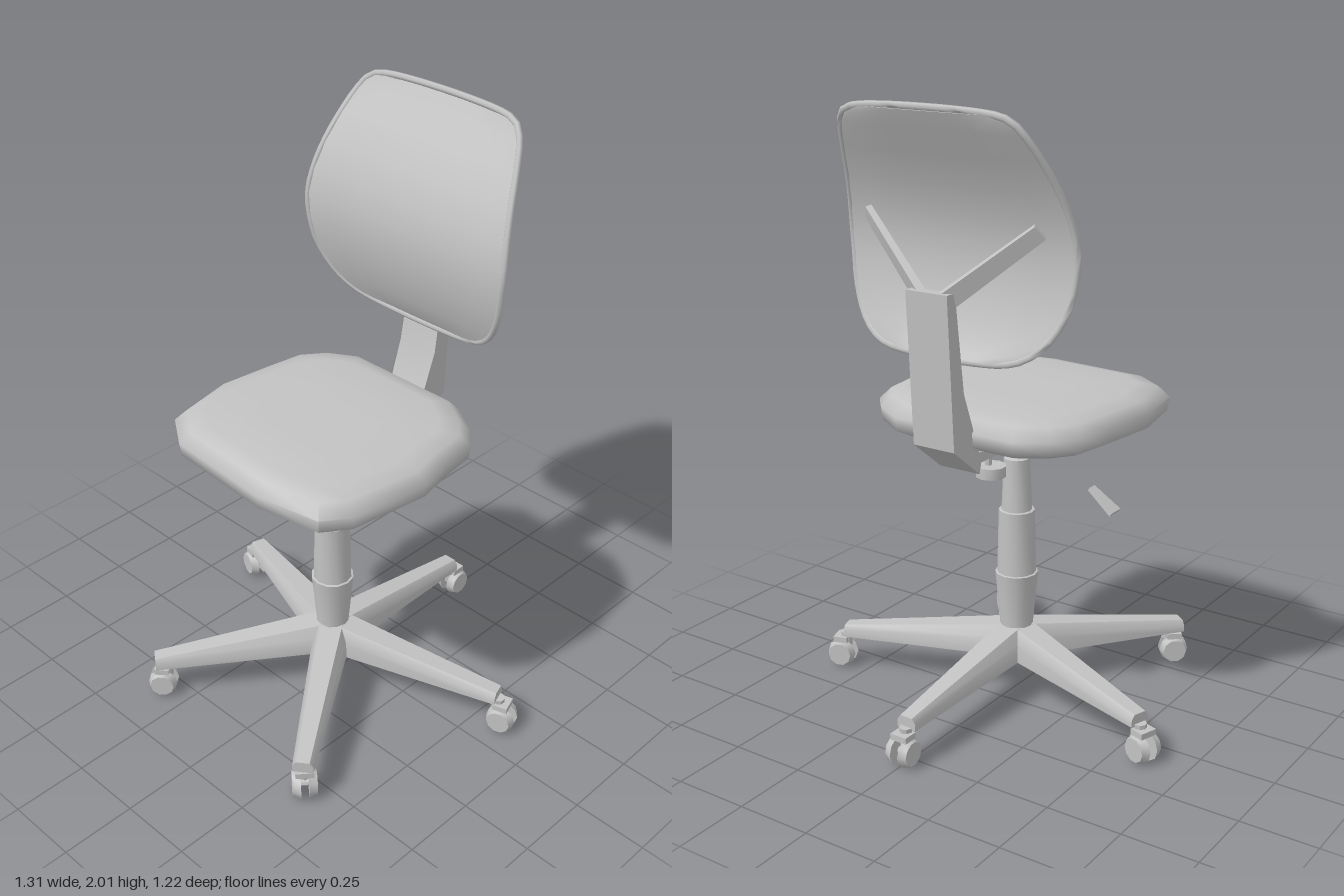
import * as THREE from 'three';
import { toCreasedNormals } from 'three/addons/utils/BufferGeometryUtils.js';

const grey = new THREE.MeshStandardMaterial({ color: 0xc2c2c2 });
grey.name = 'plain grey';
const V = (x, y, z) => new THREE.Vector3(x, y, z);
const AXIS_Z = 0.09; // the column stands slightly ahead of the centre

function mesh(name, geo, parent, crease = 0.7) {
  const m = new THREE.Mesh(toCreasedNormals(geo, crease), grey);
  m.name = name;
  parent.add(m);
  return m;
}

// Solid skin over rings of equal point count, capped at both ends
function loft(rings) {
  const n = rings[0].length;
  const pts = rings.flat();
  const idx = [];
  for (let r = 0; r < rings.length - 1; r++) {
    for (let i = 0; i < n; i++) {
      const a = r * n + i, b = r * n + (i + 1) % n;
      idx.push(a, b, b + n, a, b + n, a + n);
    }
  }
  for (const end of [0, rings.length - 1]) {
    const c = pts.length;
    const mid = V(0, 0, 0);
    rings[end].forEach(p => mid.addScaledVector(p, 1 / n));
    pts.push(mid);
    for (let i = 0; i < n; i++) {
      const a = end * n + i, b = end * n + (i + 1) % n;
      if (end === 0) idx.push(c, b, a); else idx.push(c, a, b);
    }
  }
  // Turn the faces outward when the enclosed volume comes out negative
  let volume = 0;
  for (let i = 0; i < idx.length; i += 3) {
    volume += pts[idx[i]].dot(V(0, 0, 0).crossVectors(pts[idx[i + 1]], pts[idx[i + 2]]));
  }
  if (volume < 0) idx.reverse();
  const g = new THREE.BufferGeometry().setFromPoints(pts);
  g.setIndex(idx);
  return g;
}

// Bar with a box section between two points, sizes given at each end
function bar(a, b, wide, [w0, h0], [w1, h1]) {
  const dir = b.clone().sub(a).normalize();
  const side = wide.clone().addScaledVector(dir, -wide.dot(dir)).normalize();
  const up = V(0, 0, 0).crossVectors(dir, side);
  const ring = (c, w, h) => [[1, 1], [-1, 1], [-1, -1], [1, -1]].map(([s, t]) =>
    c.clone().addScaledVector(side, s * w / 2).addScaledVector(up, t * h / 2));
  return loft([ring(a, w0, h0), ring(b, w1, h1)]);
}

function buildCaster(parent) {
  const caster = new THREE.Group();
  caster.name = 'caster';
  for (const s of [-1, 1]) {
    const wheel = mesh('wheel', new THREE.CylinderGeometry(0.04, 0.05, 0.026, 10), caster);
    wheel.rotation.z = -s * Math.PI / 2;
    wheel.scale.y = 1;
    wheel.position.set(s * 0.027, 0.051, 0);
  }
  const axle = mesh('axle', new THREE.CylinderGeometry(0.012, 0.012, 0.04, 8), caster);
  axle.rotation.z = Math.PI / 2;
  axle.position.y = 0.051;
  mesh('stem', new THREE.CylinderGeometry(0.022, 0.017, 0.075, 8), caster).position.set(0, 0.09, -0.015);
  mesh('hood', new THREE.BoxGeometry(0.06, 0.02, 0.05), caster).position.set(0, 0.103, 0);
  parent.add(caster);
  return caster;
}

function buildBase(parent) {
  const base = new THREE.Group();
  base.name = 'base';
  base.position.z = AXIS_Z;
  // Tapered leg section, narrower on top
  const section = (r, w, y0, y1) => [
    V(-w, y0, r), V(w, y0, r), V(w, y0 + (y1 - y0) * 0.6, r),
    V(w * 0.65, y1, r), V(-w * 0.65, y1, r), V(-w, y0 + (y1 - y0) * 0.6, r)];
  for (let i = 0; i < 5; i++) {
    const leg = new THREE.Group();
    leg.name = 'leg';
    leg.rotation.y = Math.PI + i * Math.PI * 2 / 5;
    mesh('legBeam', loft([section(0, 0.062, 0.14, 0.25), section(0.615, 0.034, 0.12, 0.16)]), leg);
    const front = i === 2 || i === 3;
    const caster = buildCaster(leg);
    caster.position.z = front ? 0.59 : 0.632;
    if (front) caster.rotation.y = i === 2 ? -0.25 : 0.25;
    base.add(leg);
  }
  parent.add(base);
}

function buildColumn(parent) {
  // Telescopic cover with stepped sleeves
  const profile = [[0, 0.2], [0.056, 0.2], [0.056, 0.25], [0.072, 0.43], [0.065, 0.432], [0.06, 0.65],
    [0.051, 0.652], [0.043, 0.83], [0.03, 0.835], [0.03, 0.92]];
  mesh('column', new THREE.LatheGeometry(profile.map(p => new THREE.Vector2(...p)), 12), parent, 0.8)
    .position.z = AXIS_Z;
  // Shallow dish that carries the seat
  const dish = [[0, 0.85], [0.04, 0.86], [0.055, 0.885], [0.1, 0.9], [0.215, 0.937], [0.215, 0.945], [0, 0.945]];
  const plate = mesh('seatPlate', new THREE.LatheGeometry(dish.map(p => new THREE.Vector2(...p)), 14), parent);
  plate.scale.z = 1.22;
  plate.position.z = 0.06;
  // Loose height lever under the right side of the seat
  mesh('lever', bar(V(-0.283, 0.782, AXIS_Z), V(-0.372, 0.716, AXIS_Z), V(0, 0, 1),
    [0.03, 0.012], [0.055, 0.014]), parent);
}

function buildSeat(parent) {
  const outline = [[-0.22, -0.27], [0.22, -0.27], [0.33, -0.2], [0.39, -0.13], [0.405, 0], [0.43, 0.12],
    [0.39, 0.39], [0.33, 0.475], [0.11, 0.515], [-0.27, 0.49], [-0.385, 0.41], [-0.425, 0.2],
    [-0.4, 0], [-0.38, -0.13], [-0.32, -0.21]];
  const ring = (s, y) => outline.map(([x, z]) => V(x * s, y, 0.13 + (z - 0.13) * s));
  mesh('seatCushion', loft([ring(0.3, 0.955), ring(0.88, 0.953), ring(0.985, 0.975), ring(1, 1.02),
    ring(0.92, 1.057), ring(0.78, 1.07), ring(0.4, 1.075)]), parent, 1.1);
}

function buildSupport(parent) {
  // Bent upright, drawn in side profile as [z, y]
  const side = [[-0.35, 1.47], [-0.39, 1.47], [-0.362, 0.985], [-0.23, 0.88], [-0.22, 0.92],
    [-0.268, 1.02], [-0.31, 1.15], [-0.345, 1.35]];
  mesh('upright', loft([-0.075, 0.075].map(x => side.map(([z, y]) => V(x, y, z)))), parent, 0.4);
  mesh('bracket', new THREE.BoxGeometry(0.1, 0.035, 0.32), parent).position.set(0, 0.918, -0.07);
  // Clamp knob under the bracket
  mesh('knobStem', new THREE.CylinderGeometry(0.012, 0.012, 0.08, 8), parent).position.set(0.01, 0.87, -0.06);
  mesh('knob', new THREE.CylinderGeometry(0.05, 0.05, 0.036, 10), parent).position.set(0, 0.828, -0.06);
  // Arms spreading from the upright to the sides of the backrest
  for (const s of [-1, 1]) {
    mesh('backArm', bar(V(s * 0.04, 1.44, -0.355), V(s * 0.31, 1.66, -0.262), V(0, 1, -0.3),
      [0.06, 0.025], [0.05, 0.02]), parent);
  }
}

function buildBackrest(parent) {
  const back = new THREE.Group();
  back.name = 'backrest';
  // Rows from bottom to top: height, half width, front depth
  const rows = [[1.262, 0.2, -0.292], [1.285, 0.275, -0.278], [1.335, 0.335, -0.255], [1.43, 0.385, -0.226],
    [1.52, 0.402, -0.212], [1.6, 0.408, -0.212], [1.68, 0.399, -0.228], [1.77, 0.38, -0.262],
    [1.86, 0.354, -0.31], [1.94, 0.322, -0.358], [1.975, 0.295, -0.377], [1.992, 0.25, -0.386]];
  // Thin bent shell, slightly hollowed behind the rim
  const cols = 8;
  const rings = rows.map(([y, w, z]) => {
    const front = [], rear = [];
    for (let i = 0; i <= cols; i++) {
      const t = i / cols * 2 - 1;
      const dip = 0.014 * (1 - t ** 4);
      front.push(V(t * w, y, z - dip * 0.4));
      rear.unshift(V(t * w, y, z - 0.012 - dip));
    }
    return [...front, ...rear];
  });
  mesh('backShell', loft(rings), back, 1);
  // Rounded rim around the shell
  const left = rows.map(([y, w, z]) => V(w, y, z - 0.006));
  const right = rows.map(([y, w, z]) => V(-w, y, z - 0.006)).reverse();
  const path = new THREE.CatmullRomCurve3([...left, ...right], true, 'centripetal');
  mesh('rim', new THREE.TubeGeometry(path, 72, 0.011, 6, true), back, 1.2);
  parent.add(back);
}

export function createModel() {
  const chair = new THREE.Group();
  chair.name = 'officeChair';
  buildBase(chair);
  buildColumn(chair);
  buildSeat(chair);
  buildSupport(chair);
  buildBackrest(chair);
  return chair;
}
